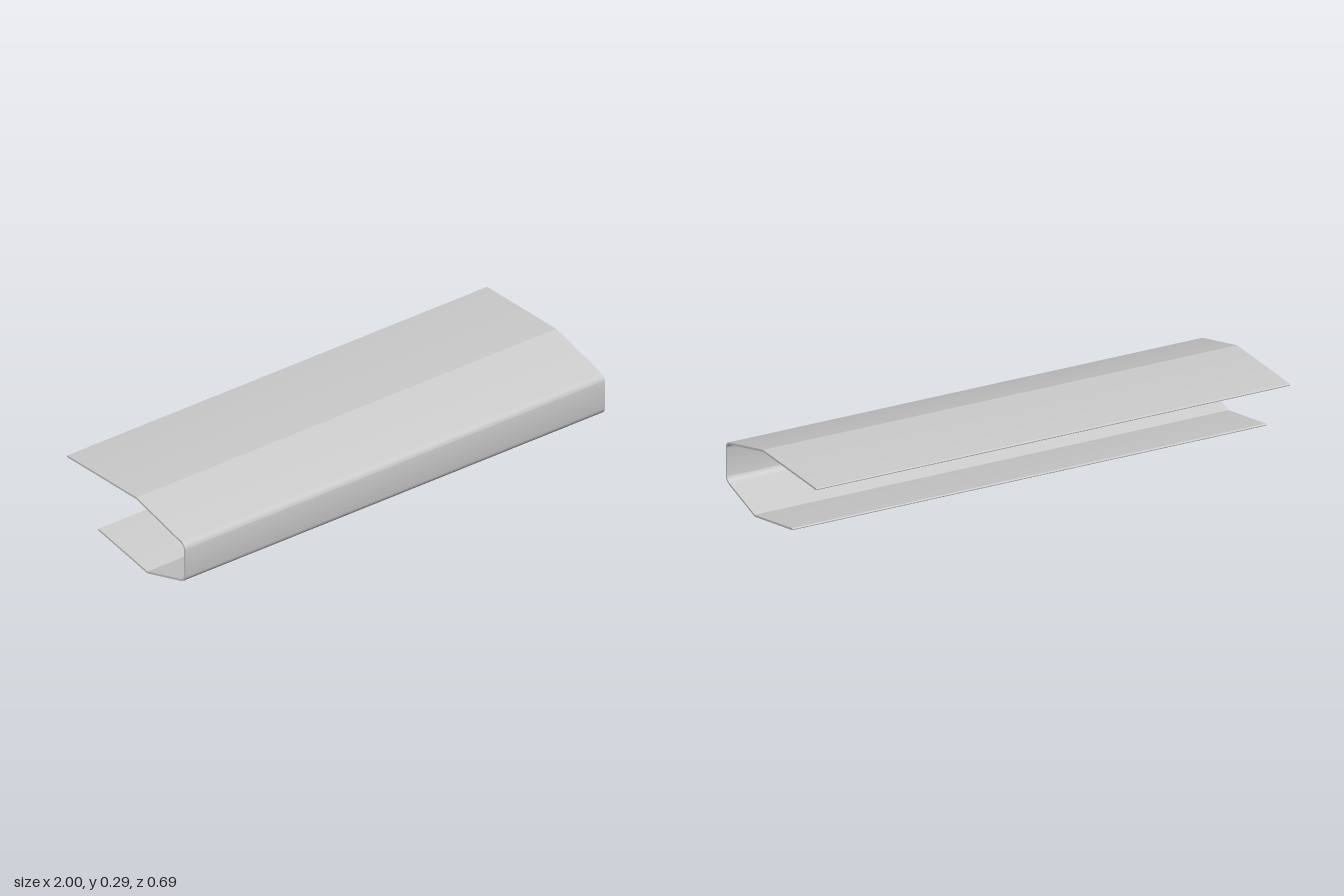
import * as THREE from 'three';
import { toCreasedNormals } from 'three/addons/utils/BufferGeometryUtils.js';

const LENGTH = 2;
const HALF = 0.004; // half of the sheet thickness
const BEND = 0.03; // radius of the two front bends

// Centre line of the bent sheet as [z, y, rounded]
const BENDS = [
  [-0.343, 0.291], [0.06, 0.291], [0.343, 0.215, true],
  [0.343, 0.0645, true], [0.125, 0.0043], [-0.16, 0.0595],
];

// Replace each rounded corner by a tangent arc
function centreLine() {
  const corners = BENDS.map(([z, y]) => new THREE.Vector2(-z, y));
  return corners.flatMap((p, i) => {
    if (!BENDS[i][2]) return [p];
    const a = corners[i - 1].clone().sub(p).normalize();
    const b = corners[i + 1].clone().sub(p).normalize();
    const half = Math.acos(a.dot(b)) / 2;
    const centre = a.clone().add(b).normalize().multiplyScalar(BEND / Math.sin(half)).add(p);
    const start = a.multiplyScalar(BEND / Math.tan(half)).add(p);
    const turn = (Math.PI - 2 * half) * Math.sign(start.clone().sub(centre).cross(b));
    return Array.from({ length: 13 }, (_, k) => start.clone().rotateAround(centre, turn * k / 12));
  });
}

// Offset the line to one side with mitred corners
function offset(line, distance) {
  const normal = (i) => {
    const d = line[i + 1].clone().sub(line[i]).normalize();
    return new THREE.Vector2(-d.y, d.x);
  };
  return line.map((p, i) => {
    const n0 = normal(Math.max(i - 1, 0));
    const n1 = normal(Math.min(i, line.length - 2));
    const m = n0.clone().add(n1).normalize();
    return m.multiplyScalar(distance / m.dot(n1)).add(p);
  });
}

// Half circle closing an edge, turning clockwise from one face to the other
function roundEdge(centre, from) {
  return Array.from({ length: 15 }, (_, k) => from.clone().rotateAround(centre, -Math.PI * (k + 1) / 16));
}

export function createModel() {
  const line = centreLine();
  const left = offset(line, HALF);
  const right = offset(line, -HALF).reverse();
  const outline = [
    ...left, ...roundEdge(line.at(-1), left.at(-1)),
    ...right, ...roundEdge(line[0], right.at(-1)),
  ];

  // Extrude the section and lay it along x
  const extruded = new THREE.ExtrudeGeometry(new THREE.Shape(outline), {
    depth: LENGTH, bevelEnabled: false, steps: 1,
  });
  extruded.translate(0, 0, -LENGTH / 2).rotateY(Math.PI / 2);

  const sheet = new THREE.Mesh(
    toCreasedNormals(extruded, 0.22),
    new THREE.MeshStandardMaterial({ color: 0xcccccc }),
  );
  sheet.name = 'bentSheetProfile';

  const group = new THREE.Group();
  group.name = 'foldedChannel';
  group.add(sheet);
  return group;
}
